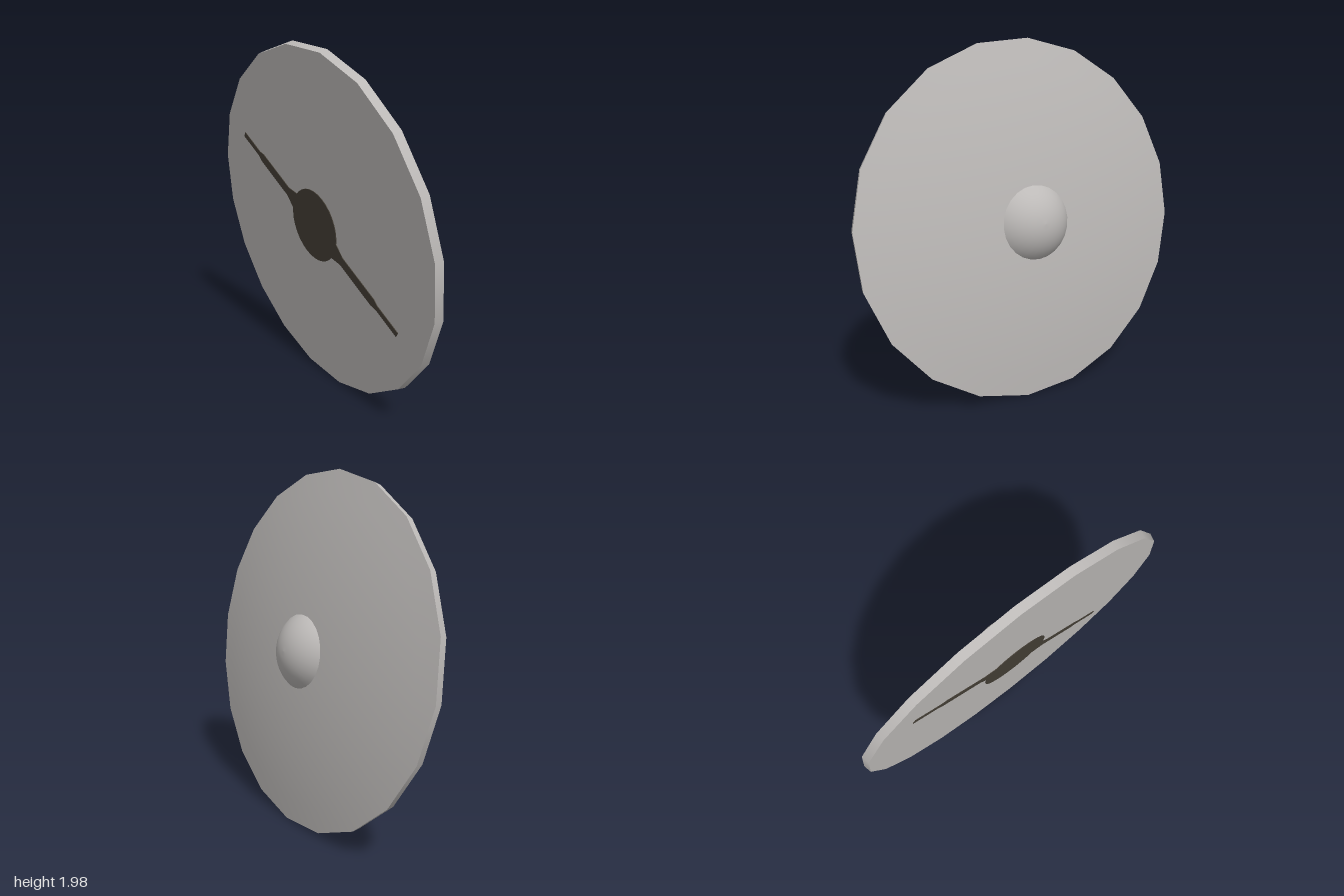
import * as THREE from 'three';

const SIDES = 20;
const RIM = 1, BACK_RIM = 0.99, THICK = 0.045, BULGE = 0.095;

export function createModel() {
  const metal = new THREE.MeshStandardMaterial({ color: 0xbdbab8 });
  metal.name = 'grey metal';
  const dark = new THREE.MeshStandardMaterial({ color: 0x453f36 });
  dark.name = 'dark grip';

  const model = new THREE.Group();
  model.name = 'roundShield';

  const add = (name, geometry, material) => {
    const mesh = new THREE.Mesh(geometry, material);
    mesh.name = name;
    model.add(mesh);
    return mesh;
  };
  const lathe = (name, points, sides = SIDES) =>
    add(name, new THREE.LatheGeometry(points.map(([r, y]) => new THREE.Vector2(r, y)), sides), metal);

  // Shield body: flat back, narrow rim and gently domed face, kept separate for crisp edges
  lathe('back', [[0, -THICK], [BACK_RIM, -THICK]]);
  lathe('rim', [[BACK_RIM, -THICK], [RIM, 0]]);
  const face = [];
  for (let i = 0; i <= 8; i++) {
    const r = 1 - i / 8;
    face.push([r * RIM, BULGE * (1 - r * r)]);
  }
  lathe('face', face);

  // Central boss: a spherical cap
  const bossR = 0.22, bossBase = 0.07, bossH = 0.12;
  const sphereR = (bossR ** 2 + bossH ** 2) / (2 * bossH);
  const capAngle = Math.asin(bossR / sphereR);
  const boss = [];
  for (let i = 0; i <= 8; i++) {
    const a = capAngle * (1 - i / 8);
    boss.push([sphereR * Math.sin(a), bossBase + bossH - sphereR * (1 - Math.cos(a))]);
  }
  lathe('boss', boss, 24);

  // Dark grip inlaid on the back: a disc and a stepped bar
  const plate = 0.004, plateY = -THICK - plate / 2;
  add('gripDisc', new THREE.CylinderGeometry(0.21, 0.21, plate, 32), dark).position.y = plateY;
  const half = [[0.79, 0.016], [0.61, 0.016], [0.57, 0.028], [0.28, 0.028], [0.19, 0.06]];
  const mirrored = half.map(([z, w]) => [-z, w]).reverse();
  const top = [...half, ...mirrored];
  const outline = [...top, ...top.map(([z, w]) => [z, -w]).reverse()];
  const bar = new THREE.ExtrudeGeometry(
    new THREE.Shape(outline.map(([z, w]) => new THREE.Vector2(w, z))),
    { depth: plate, bevelEnabled: false });
  bar.rotateX(Math.PI / 2);
  add('gripBar', bar, dark).position.y = -THICK;

  // Lean the shield: its axis points to +x, tipped slightly up and forward
  const axis = new THREE.Vector3(1, 0.128, 0.075).normalize();
  const spin = THREE.MathUtils.degToRad(31.4);
  const along = new THREE.Vector3(0, -Math.sin(spin), Math.cos(spin)).projectOnPlane(axis).normalize();
  const across = new THREE.Vector3().crossVectors(axis, along);
  model.quaternion.setFromRotationMatrix(new THREE.Matrix4().makeBasis(across, axis, along));
  model.position.y = 1;

  const root = new THREE.Group();
  root.name = 'shield';
  root.add(model);
  return root;
}
